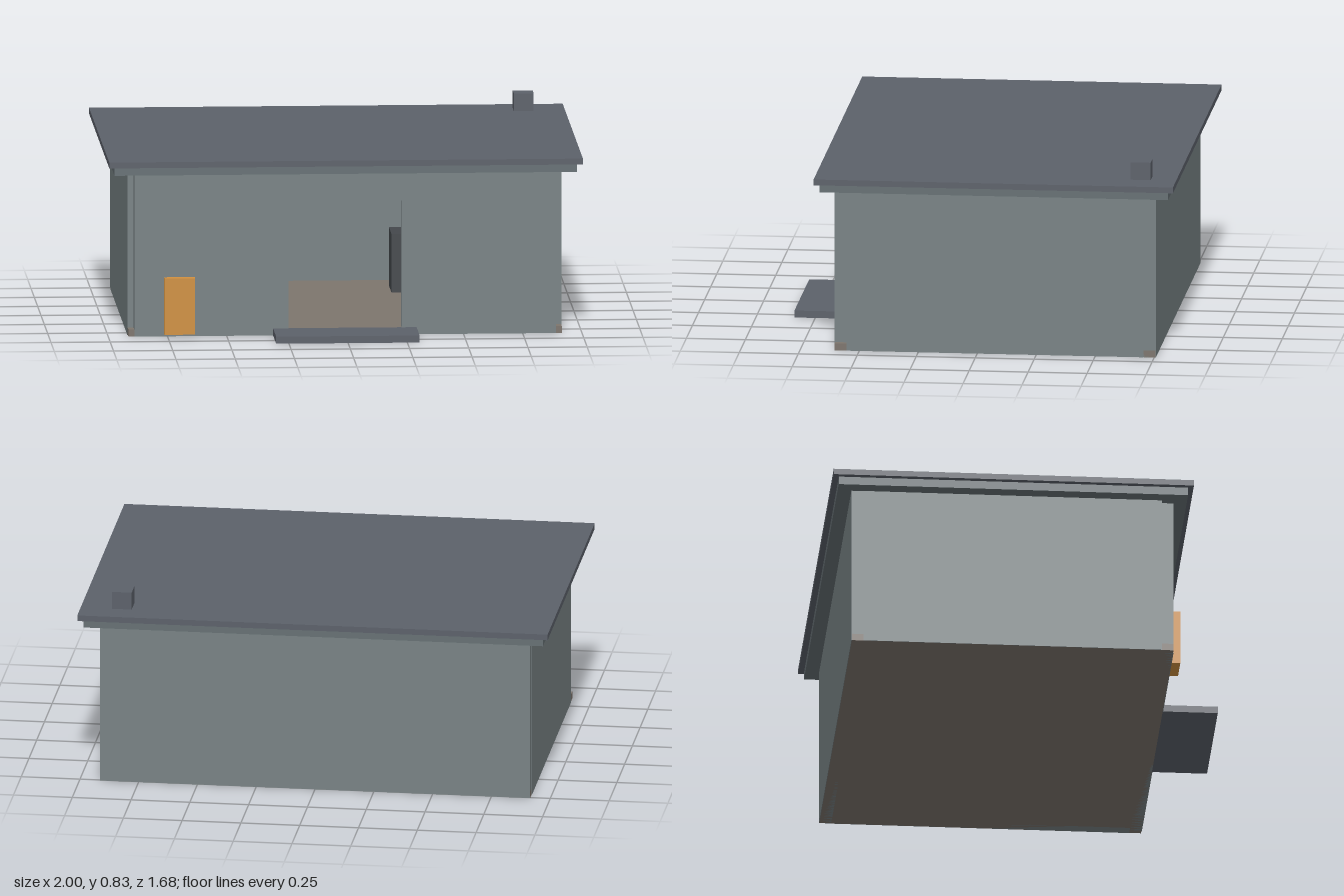
import * as THREE from 'three';

const mat = (color) => new THREE.MeshStandardMaterial({ color });

export function createModel() {
  const model = new THREE.Group();
  const wall = mat(0x788284);
  const roof = mat(0x5c616a);
  const floor = mat(0x7d756d);
  const orange = mat(0xd09040);
  const dark = mat(0x44484c);

  // Box given by its lower and upper limits on each axis
  const box = (name, material, [x0, x1], [y0, y1], [z0, z1]) => {
    const mesh = new THREE.Mesh(new THREE.BoxGeometry(x1 - x0, y1 - y0, z1 - z0), material);
    mesh.position.set((x0 + x1) / 2, (y0 + y1) / 2, (z0 + z1) / 2);
    mesh.name = name;
    model.add(mesh);
    return mesh;
  };

  // Floor slab, back wall and side walls
  box('floor', floor, [-0.915, 0.915], [0, 0.03], [-0.755, 0.605]);
  box('backWall', wall, [-0.915, 0.915], [0, 0.697], [-0.757, -0.705]);
  for (const s of [-1, 1]) {
    const xs = s > 0 ? [0.865, 0.917] : [-0.917, -0.865];
    box(s > 0 ? 'leftWall' : 'rightWall', wall, xs, [0, 0.697], [-0.705, 0.555]);
  }

  // Front wall with an open doorway, set in slightly at both corners
  const front = new THREE.Shape();
  [[-0.89, 0], [-0.24, 0], [-0.24, 0.57], [0.238, 0.57], [0.238, 0], [0.89, 0], [0.89, 0.697], [-0.89, 0.697]]
    .forEach(([x, y], i) => (i ? front.lineTo(x, y) : front.moveTo(x, y)));
  const frontWall = new THREE.Mesh(
    new THREE.ExtrudeGeometry(front, { depth: 0.052, bevelEnabled: false }), wall);
  frontWall.position.z = 0.555;
  frontWall.name = 'frontWall';
  model.add(frontWall);

  // Stepped flat roof with a small vent
  box('eave', mat(0x667074), [-0.977, 0.977], [0.695, 0.73], [-0.815, 0.662]);
  box('roof', roof, [-1, 1], [0.73, 0.755], [-0.838, 0.685]);
  box('roofVent', roof, [0.783, 0.867], [0.755, 0.83], [-0.73, -0.645]);

  // Doorstep and the utility box on the front wall
  box('doorstep', roof, [-0.304, 0.302], [0, 0.03], [0.605, 0.838]);
  box('utilityBox', orange, [-0.765, -0.635], [0.012, 0.252], [0.605, 0.645]);

  // Furniture inside, to either side of the doorway
  box('sideCabinet', dark, [-0.86, -0.62], [0.03, 0.32], [-0.7, -0.1]);
  box('counter', dark, [0.25, 0.78], [0.03, 0.28], [-0.55, -0.35]);

  return model;
}
